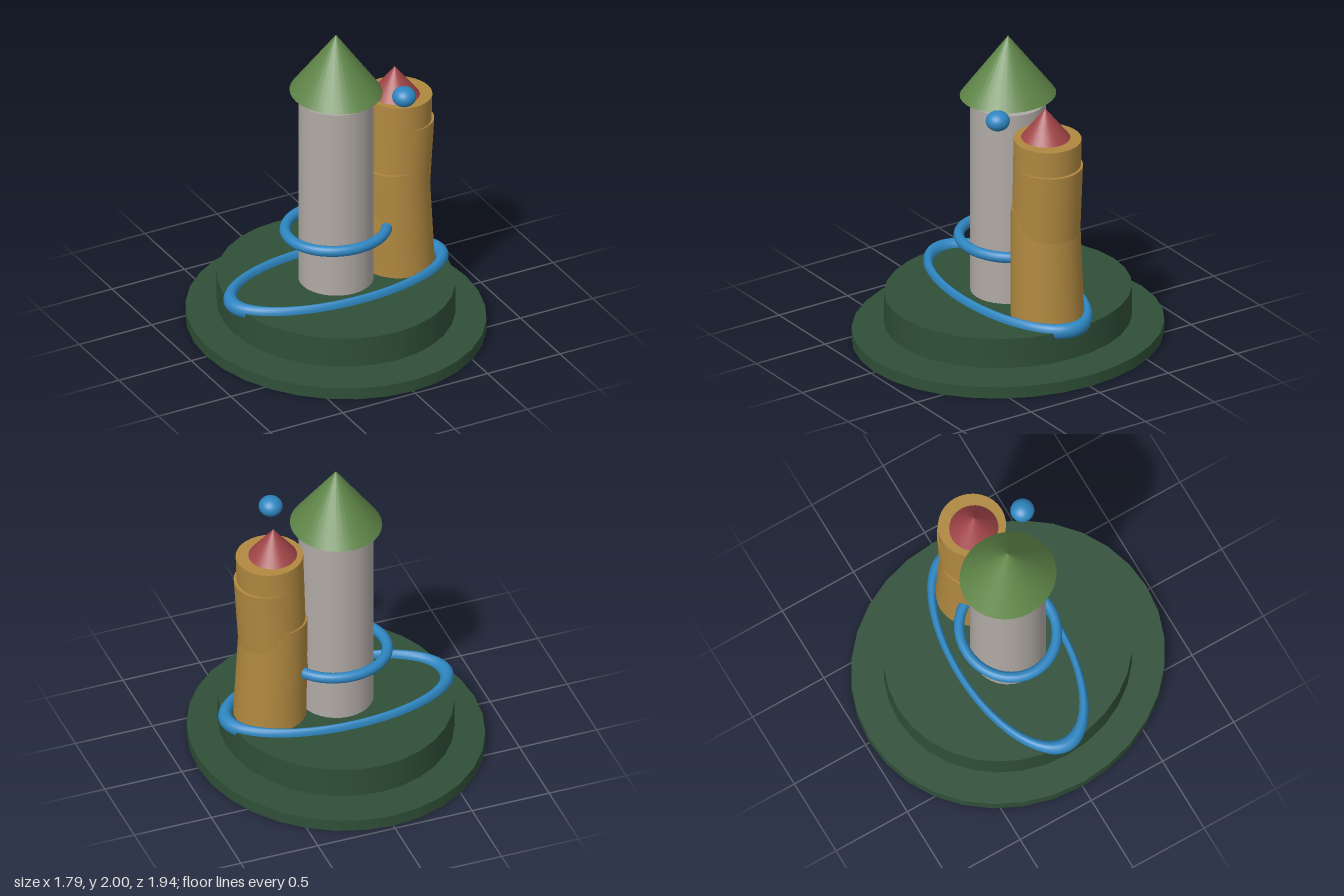
import * as THREE from 'three';

const mat = (name, color) => {
  const m = new THREE.MeshStandardMaterial({ color });
  m.name = name;
  return m;
};

export function createModel() {
  const model = new THREE.Group();
  model.name = 'towers';

  const darkGreen = mat('dark green', 0x2f4f37);
  const stone = mat('stone grey', 0xb0aaa5);
  const gold = mat('ochre', 0xb08840);
  const green = mat('leaf green', 0x5f8548);
  const red = mat('brick red', 0xa04447);
  const blue = mat('blue', 0x2e86c1);

  const add = (name, geometry, material, x = 0, y = 0, z = 0) => {
    const mesh = new THREE.Mesh(geometry, material);
    mesh.name = name;
    mesh.position.set(x, y, z);
    model.add(mesh);
    return mesh;
  };

  // Upright elliptical drum, or a cone when the top scale is 0
  const drum = (name, material, x, y0, y1, rx, rz, top = 1) => {
    const g = new THREE.CylinderGeometry(top, 1, y1 - y0, 32).scale(rx, 1, rz);
    return add(name, g, material, x, (y0 + y1) / 2);
  };

  // Stepped base
  drum('lowerBase', darkGreen, 0, 0, 0.075, 0.895, 0.972);
  drum('upperBase', darkGreen, 0, 0.115, 0.31, 0.71, 0.77);

  // Main tower with its floating roof
  drum('mainTower', stone, 0, 0.3, 1.565, 0.228, 0.23);
  drum('mainRoof', green, 0, 1.61, 2, 0.277, 0.3, 0);

  // Crooked side tower: overlapping cylinders, each leaning its own way
  const leaning = (name, x0, y0, r0, x1, y1, r1) => {
    const dx = x1 - x0, dy = y1 - y0;
    const g = new THREE.CylinderGeometry(r1, r0, Math.hypot(dx, dy), 32);
    g.scale(1, 1, 1.01);
    const mesh = add(name, g, gold, (x0 + x1) / 2, (y0 + y1) / 2);
    mesh.rotation.z = -Math.atan2(dx, dy);
  };
  leaning('sideTowerLower', 0.43, 0.3, 0.222, 0.405, 1.022, 0.207);
  leaning('sideTowerMiddle', 0.4, 0.6, 0.205, 0.443, 1.315, 0.207);
  leaning('sideTowerUpper', 0.415, 0.95, 0.204, 0.432, 1.48, 0.205);
  drum('sideRoof', red, 0.407, 1.475, 1.67, 0.152, 0.155, 0);

  // Oval rings
  const ring = (name, y, r, tube, sy, sz) => {
    const g = new THREE.TorusGeometry(r, tube, 16, 64).rotateX(Math.PI / 2);
    add(name, g.scale(1, sy, sz), blue, 0, y);
  };
  ring('baseRing', 0.307, 0.709, 0.045, 1.06, 0.475);
  ring('towerRing', 0.657, 0.315, 0.034, 1, 0.92);

  // Floating ball
  add('ball', new THREE.SphereGeometry(1, 24, 16).scale(0.073, 0.062, 0.074), blue, 0.315, 1.625, 0.285);

  return model;
}
